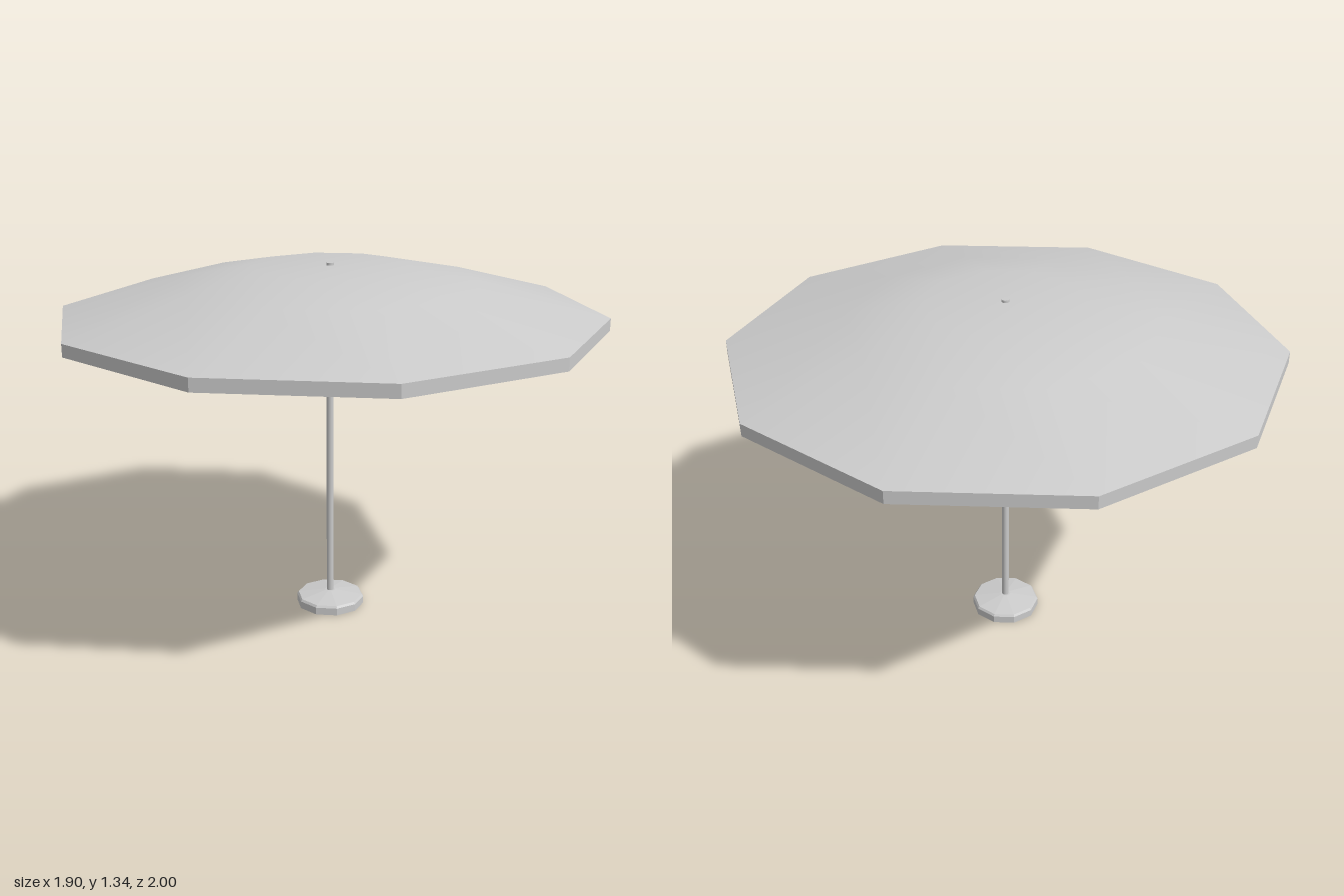
import * as THREE from 'three';

const SIDES = 10;
const APOTHEM = Math.cos(Math.PI / SIDES);
// canopy profile as [radius at the corners, height], rim to crown
const CANOPY = [[1, 1.155], [0.56, 1.272], [0.29, 1.325], [0, 1.326]];

const material = (options = {}) => new THREE.MeshStandardMaterial({ color: 0xcccccc, ...options });

function addMesh(parent, name, geometry, mat) {
  const mesh = new THREE.Mesh(geometry, mat);
  mesh.name = name;
  parent.add(mesh);
  return mesh;
}

// ten-sided revolved shape with a corner facing the front
const lathe = (profile) =>
  new THREE.LatheGeometry(profile.map(([r, y]) => new THREE.Vector2(r, y)), SIDES);

export function createModel() {
  const model = new THREE.Group();
  model.name = 'parasol';
  const cloth = material({ side: THREE.DoubleSide });
  const flatCloth = material({ side: THREE.DoubleSide, flatShading: true });
  const smooth = material();
  const flat = material({ flatShading: true });

  // weighted foot
  addMesh(model, 'base',
    lathe([[0, 0], [0.13, 0], [0.13, 0.028], [0.124, 0.036], [0.02, 0.052], [0, 0.052]]), flat);

  // pole, its tip showing above the crown
  const pole = addMesh(model, 'pole', new THREE.CylinderGeometry(0.0135, 0.0135, 1.295, 12), smooth);
  pole.position.y = 0.04 + 1.295 / 2;

  // canopy cloth and the hanging band around its rim
  addMesh(model, 'canopy', lathe(CANOPY), cloth);
  addMesh(model, 'valance', lathe([[1, 1.11], [1, 1.155]]), flatCloth);

  // five ribs under the canopy, each running to the middle of a rim edge
  const points = CANOPY.map(([r, y]) => new THREE.Vector3(r * APOTHEM * 0.995, y - 0.006, 0));
  const path = new THREE.CurvePath();
  for (let i = 1; i < points.length; i++) {
    path.add(new THREE.LineCurve3(points[i - 1], points[i]));
  }
  const ribGeometry = new THREE.TubeGeometry(path, 32, 0.005, 6);
  const ribs = new THREE.Group();
  ribs.name = 'ribs';
  for (let i = 0; i < 5; i++) {
    const rib = addMesh(ribs, 'rib', ribGeometry, smooth);
    rib.rotation.y = Math.PI + (i * 2 * Math.PI) / 5;
  }
  model.add(ribs);

  return model;
}
